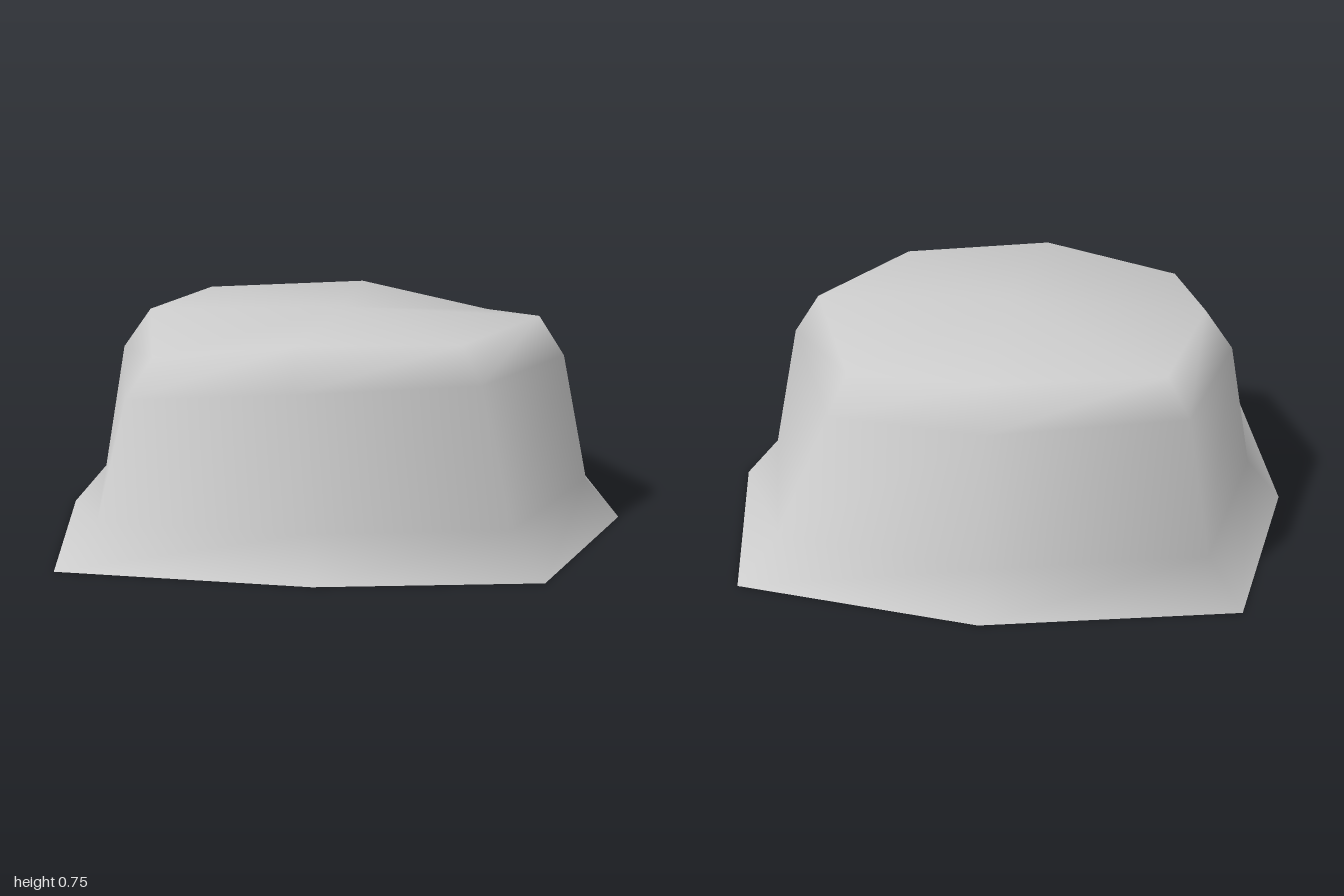
import * as THREE from 'three';

// Eight-cornered rings [x, y, z], running from the front round by the left side
const RINGS = [
  // foot rim
  [[0, 0, .97], [.74, 0, .85], [1, 0, .05], [.84, 0, -.8], [0, 0, -.97], [-.86, 0, -.8], [-1, 0, .05], [-.86, 0, .9]],
  // bottom of wall
  [[-.03, .14, .85], [.63, .14, .73], [.88, .14, .05], [.72, .14, -.68], [0, .14, -.85], [-.74, .14, -.68], [-.88, .14, .05], [-.74, .14, .78]],
  // shoulder
  [[-.08, .59, .81], [.52, .6, .65], [.79, .59, .05], [.56, .53, -.55], [0, .59, -.77], [-.66, .6, -.6], [-.8, .59, .05], [-.66, .53, .67]],
  // edge of the top
  [[-.08, .73, .71], [.45, .72, .58], [.7, .73, .05], [.5, .66, -.48], [0, .73, -.68], [-.58, .72, -.53], [-.7, .73, .05], [-.58, .66, .6]],
];
const PEAK = [0, .75, .05];

// Joins the rings with quads and closes the top with a fan
function loft(rings, peak) {
  const n = rings[0].length;
  const index = [];
  for (let r = 0; r < rings.length; r++) {
    for (let i = 0; i < n; i++) {
      const a = r * n + i;
      const b = r * n + (i + 1) % n;
      if (r < rings.length - 1) index.push(a, b, b + n, a, b + n, a + n);
      else index.push(a, b, rings.length * n);
    }
  }
  const geometry = new THREE.BufferGeometry();
  geometry.setAttribute('position', new THREE.Float32BufferAttribute([...rings.flat(2), ...peak], 3));
  geometry.setIndex(index);
  geometry.computeVertexNormals();
  return geometry;
}

export function createModel() {
  const group = new THREE.Group();
  group.name = 'flaredMound';
  const grey = new THREE.MeshStandardMaterial({ color: 0xcccccc, side: THREE.DoubleSide });
  grey.name = 'light grey';

  // Smooth open-bottomed shell with a flared foot
  const shell = new THREE.Mesh(loft(RINGS, PEAK), grey);
  shell.name = 'shell';
  group.add(shell);
  return group;
}
